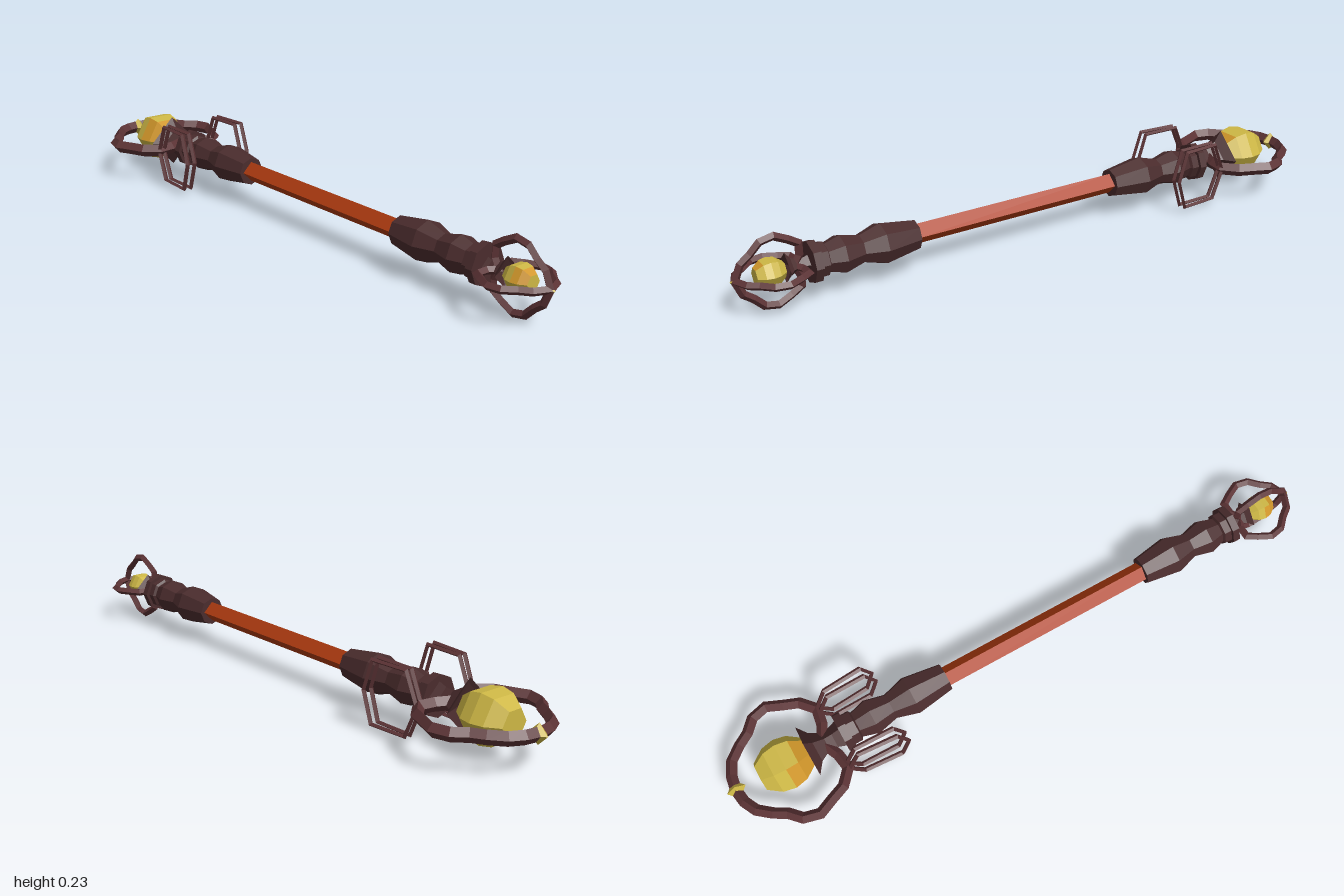
import * as THREE from 'three';

const paint = (name, color) => {
  const m = new THREE.MeshStandardMaterial({ color, flatShading: true, side: THREE.DoubleSide });
  m.name = name;
  return m;
};

// Faceted turned part whose axis runs along z; profile is [radius, z] with z rising
function turned(profile, sides, phi = 0) {
  const pts = profile.map(([r, z]) => new THREE.Vector2(r, z));
  return new THREE.LatheGeometry(pts, sides, phi).rotateX(Math.PI / 2);
}

// Closed flat loop with a diamond section; outline [u, v] maps to x and z
function loop(outline, r, thick = r) {
  const n = outline.length, pos = [], index = [];
  const P = outline.map(([u, v]) => new THREE.Vector2(u, v));
  P.forEach((p, i) => {
    const a = p.clone().sub(P[(i + n - 1) % n]).normalize();
    const b = P[(i + 1) % n].clone().sub(p).normalize();
    const t = a.clone().add(b).normalize();
    const m = r / Math.max(0.6, t.dot(b));
    const nx = t.y * m, ny = -t.x * m;
    pos.push(p.x + nx, p.y + ny, 0, p.x, p.y, thick, p.x - nx, p.y - ny, 0, p.x, p.y, -thick);
    for (let k = 0; k < 4; k++) {
      const j = (i + 1) % n, l = (k + 1) % 4;
      const A = i * 4 + k, B = j * 4 + k, C = j * 4 + l, D = i * 4 + l;
      index.push(A, B, C, A, C, D);
    }
  });
  const g = new THREE.BufferGeometry();
  g.setAttribute('position', new THREE.Float32BufferAttribute(pos, 3));
  g.setIndex(index);
  g.computeVertexNormals();
  return g.rotateX(Math.PI / 2);
}

// Completes a half outline whose first and last points lie on the axis
const mirrored = (half) => [...half, ...half.slice(1, -1).reverse().map(([u, v]) => [-u, v])];

export function createModel() {
  const root = new THREE.Group();
  const staff = new THREE.Group();
  staff.name = 'staff';
  staff.position.y = 0.122;
  root.add(staff);

  const orange = paint('orange wood', 0xac3a10);
  const dark = paint('dark brown', 0x4a2c2d);
  const brown = paint('reddish brown', 0x5c3335);
  const gold = paint('gold', 0xcdb745);
  const amber = paint('amber', 0xd0962a);

  const add = (name, geometry, material, z = 0) => {
    const mesh = new THREE.Mesh(geometry, material);
    mesh.name = name;
    mesh.position.z = z;
    staff.add(mesh);
    return mesh;
  };

  // Shaft
  add('shaft', turned([[0.032, -0.28], [0.032, 0.46]], 4), orange);

  // Bulging grips with stepped collars, measured outward from the shaft
  const grip = [[0, 0], [0.045, 0], [0.063, 0.12], [0.042, 0.19], [0.058, 0.255],
    [0.043, 0.305], [0.052, 0.31], [0.052, 0.335], [0.063, 0.335], [0.063, 0.36], [0, 0.36]];
  add('frontGrip', turned(grip.map(([r, z]) => [r, 0.44 + z * 0.93]), 8), dark);
  add('backGrip', turned(grip.map(([r, z]) => [r, -0.265 - z]).reverse(), 8), dark);

  // Necks flaring into four-cornered gem cups
  const cup = [[0.045, 0], [0.034, 0.03], [0.03, 0.055], [0.05, 0.09],
    [0.085, 0.115], [0.07, 0.108], [0, 0.085]];
  add('backCup', turned(cup.map(([r, z]) => [r, -0.62 - z]).reverse(), 4), dark);
  add('frontCup', turned(cup.map(([r, z]) => [r * 0.55, 0.77 + z * 0.62]), 4), dark);

  // Cut gems with some amber facets toward the front
  const gem = (name, r, z) => {
    const h = r * 0.95;
    const g = turned([[0, -h], [r * 0.55, -h], [r * 0.9, -h * 0.5], [r, 0],
      [r * 0.9, h * 0.5], [r * 0.55, h], [0, h]], 6, Math.PI / 2);
    const amberFacets = ['1,4', '2,3', '2,4', '4,4'];
    for (let i = 0; i < 6; i++) {
      for (let j = 0; j < 6; j++) {
        g.addGroup((i * 6 + j) * 6, 6, amberFacets.includes(`${i},${j}`) ? 1 : 0);
      }
    }
    add(name, g, [gold, amber], z);
  };
  gem('backGem', 0.084, -0.812);
  gem('frontGem', 0.044, 0.888);

  // Small gems on the two tips
  add('backTipGem', new THREE.OctahedronGeometry(0.03), gold, -0.97);
  add('frontTipGem', new THREE.OctahedronGeometry(0.014), gold, 0.986);

  // Large gnarled ring around the back gem
  const bigRing = mirrored([[0, -0.972], [0.045, -0.965], [0.085, -0.945], [0.118, -0.905],
    [0.14, -0.868], [0.175, -0.835], [0.188, -0.785], [0.166, -0.735], [0.148, -0.69],
    [0.105, -0.652], [0.055, -0.66], [0, -0.685]]);
  add('backRing', loop(bigRing, 0.017, 0.021), brown);

  // Two crossed rings around the front gem
  const smallRing = mirrored([[0, 0.815], [0.03, 0.798], [0.065, 0.798], [0.084, 0.828],
    [0.104, 0.868], [0.096, 0.908], [0.066, 0.938], [0.045, 0.966], [0, 0.985]]);
  add('frontRingFlat', loop(smallRing, 0.012), brown);
  add('frontRingUpright', loop(smallRing, 0.012).rotateZ(Math.PI / 2), brown);

  // Pairs of thin six-sided hoops beside the back grip
  const hoop = mirrored([[0, -0.095], [0.094, -0.055], [0.094, 0.07], [0, 0.1]]);
  for (const side of [-1, 1]) {
    [['innerHoop', 0.092, 0.02], ['outerHoop', 0.115, 0.07]].forEach(([name, x, tilt]) => {
      const m = add(name, loop(hoop, 0.006, 0.008).rotateZ(Math.PI / 2), brown, -0.555);
      m.position.x = side * x;
      m.rotation.y = side * tilt;
    });
  }
  return root;
}
